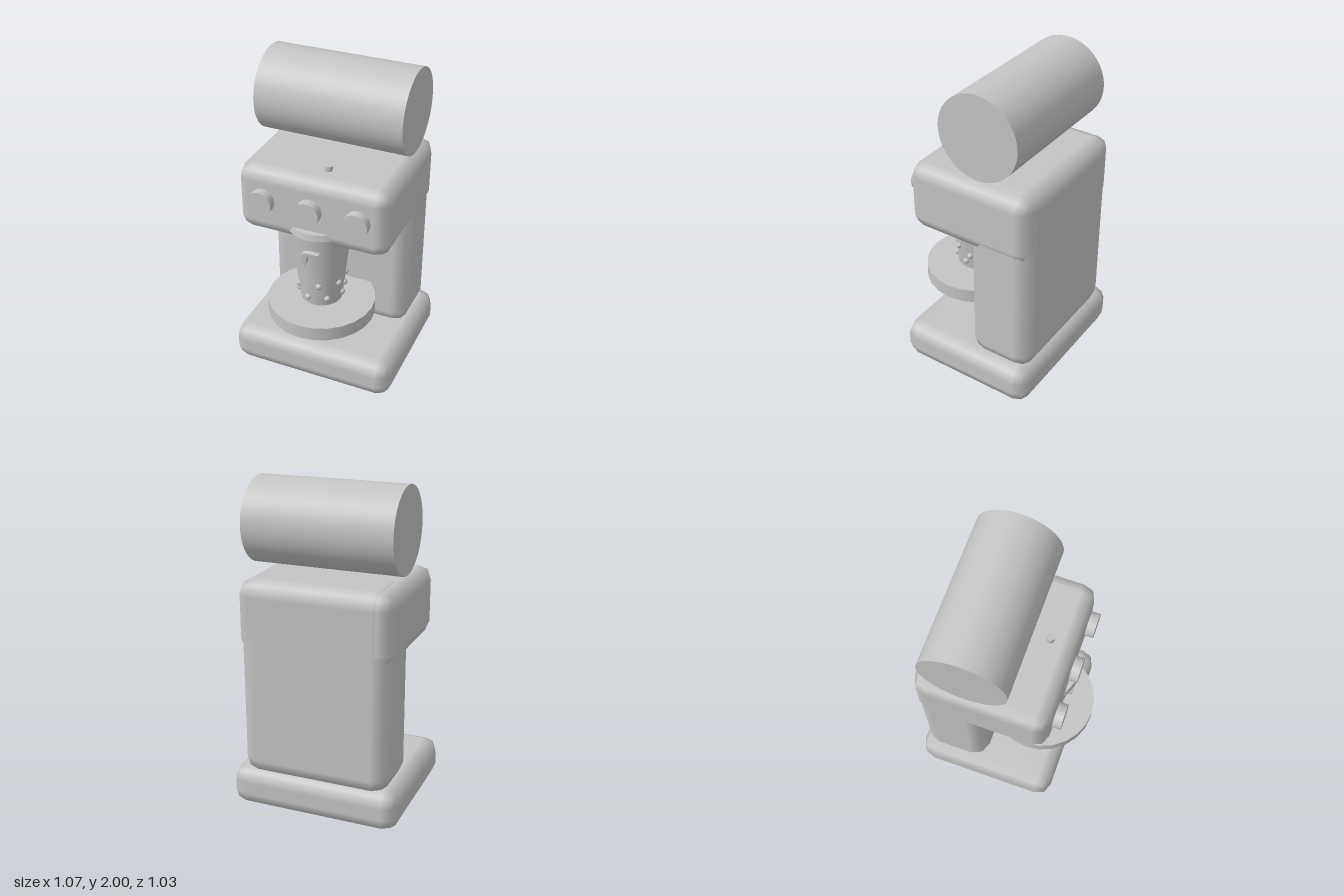
import * as THREE from 'three';
import { RoundedBoxGeometry } from 'three/addons/geometries/RoundedBoxGeometry.js';

export function createModel() {
  const model = new THREE.Group();
  model.name = 'coffeeMachine';
  const grey = new THREE.MeshStandardMaterial({ color: 0xc4c4c4 });
  grey.name = 'plainGrey';

  const add = (name, geometry, x, y, z, parent = model) => {
    const mesh = new THREE.Mesh(geometry, grey);
    mesh.name = name;
    mesh.position.set(x, y, z);
    parent.add(mesh);
    return mesh;
  };

  // Soft block given by its extents, two facets per rounded edge
  const block = (name, x, y0, y1, z0, z1, r) =>
    add(name, new RoundedBoxGeometry(2 * x, y1 - y0, z1 - z0, 1, r), 0, (y0 + y1) / 2, (z0 + z1) / 2);

  // Housing
  block('base', 0.535, 0.005, 0.26, -0.515, 0.4, 0.09);
  block('column', 0.467, 0.22, 1.45, -0.488, -0.068, 0.1);
  block('head', 0.478, 1.007, 1.44, -0.48, 0.338, 0.085);

  // Bean hopper lying across the top
  add('hopper', new THREE.CylinderGeometry(0.258, 0.258, 0.918, 64), 0, 1.742, -0.15).rotation.z = Math.PI / 2;

  // Front knobs
  for (const x of [-0.3, 0, 0.3]) {
    add('knob', new THREE.CylinderGeometry(0.076, 0.076, 0.052, 32), x, 1.243, 0.368).rotation.x = Math.PI / 2;
  }

  // Round tray
  const cz = 0.18;
  add('tray', new THREE.CylinderGeometry(0.336, 0.336, 0.09, 24), 0, 0.485, cz);

  // Cup with lid and straw
  const cup = new THREE.Group();
  cup.name = 'cup';
  cup.position.z = cz;
  model.add(cup);
  const bottom = 0.545, top = 1.065, rBottom = 0.13, rTop = 0.186;
  const cupRadius = (y) => rBottom + (rTop - rBottom) * (y - bottom) / (top - bottom);
  add('cupBody', new THREE.CylinderGeometry(rTop, rBottom, top - bottom, 32), 0, (bottom + top) / 2, 0, cup);
  add('lid', new THREE.CylinderGeometry(0.195, 0.203, 0.04, 32), 0, 1.085, 0, cup);
  add('straw', new THREE.CylinderGeometry(0.024, 0.024, 0.7, 12), 0.017, 1.125, 0, cup).rotation.z = -0.1;

  // Pearls spaced a seventh of a turn apart in three rows
  const rows = [
    { y: 0.6, start: 0, count: 4 },
    { y: 0.652, start: 141, count: 5 },
    { y: 0.702, start: 278, count: 4 },
  ];
  for (const { y, start, count } of rows) {
    for (let i = 0; i < count; i++) {
      const a = THREE.MathUtils.degToRad(start + i * 360 / 7);
      const r = cupRadius(y);
      add('pearl', new THREE.SphereGeometry(0.02, 12, 8), r * Math.cos(a), y, r * Math.sin(a), cup);
    }
  }

  // Curved ornament leaning with the cup wall
  const curl = new THREE.Shape();
  curl.moveTo(-0.032, -0.05);
  curl.bezierCurveTo(-0.06, 0, -0.055, 0.055, 0, 0.058);
  curl.quadraticCurveTo(0.035, 0.06, 0.066, 0.052);
  curl.quadraticCurveTo(0.045, 0.032, 0.01, 0.032);
  curl.quadraticCurveTo(-0.012, 0.025, -0.01, -0.005);
  curl.quadraticCurveTo(-0.014, -0.035, -0.032, -0.05);
  const ornament = new THREE.ExtrudeGeometry(curl, {
    depth: 0.035, bevelEnabled: true, bevelThickness: 0.01, bevelSize: 0.004, bevelOffset: -0.004, bevelSegments: 2,
  });
  add('ornament', ornament, 0, 0.92, 0.145, cup).rotation.x = 0.107;

  return model;
}
